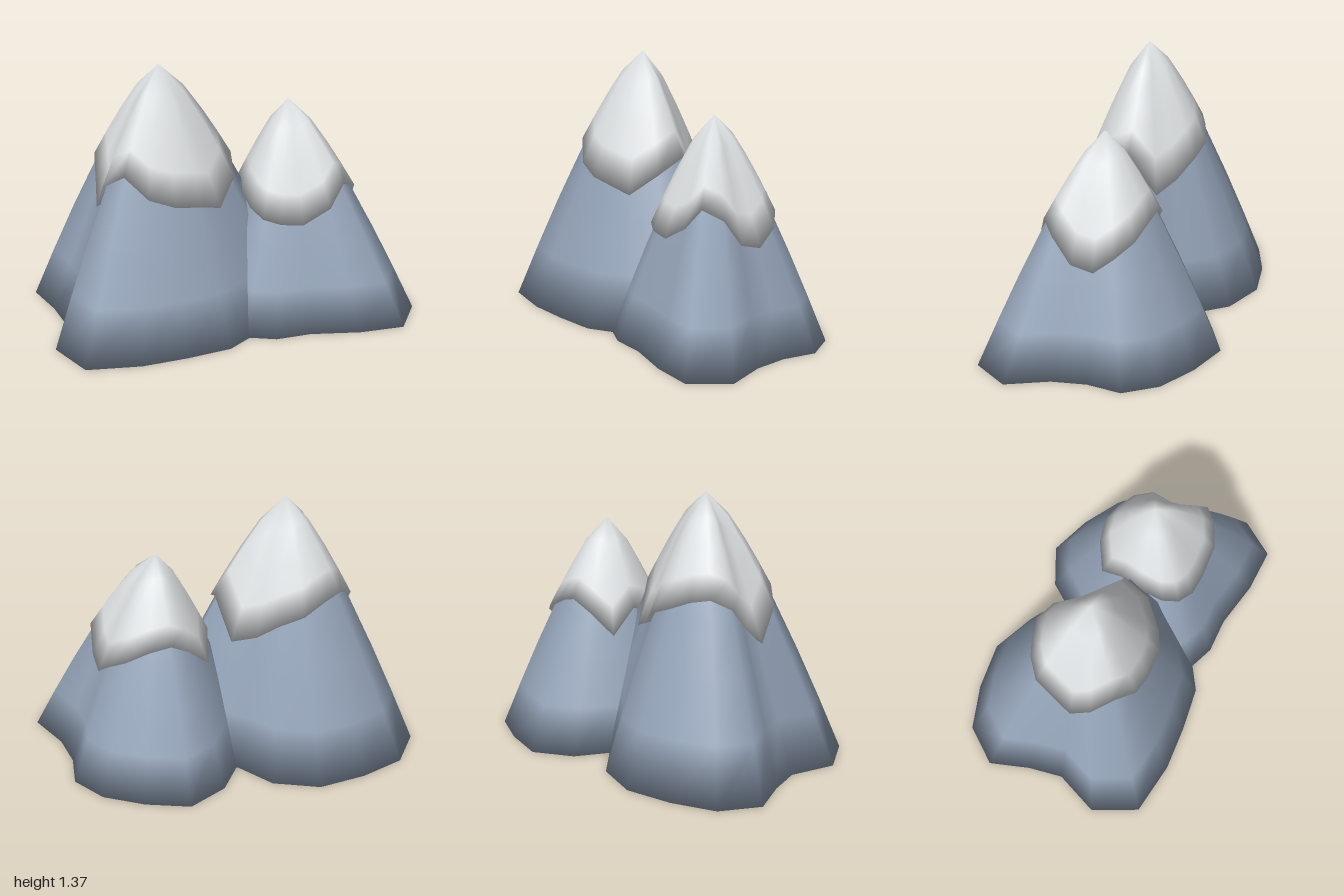
import * as THREE from 'three';

const rockMaterial = new THREE.MeshStandardMaterial({ color: 0x94a3b8 });
rockMaterial.name = 'blue grey rock';
const snowMaterial = new THREE.MeshStandardMaterial({ color: 0xdfe2e4 });
snowMaterial.name = 'snow white';

// each foot corner: x and z from the peak axis, then the snow line height above it
const peaks = [
  {
    name: 'tallPeak', x: -0.32, z: 0.05, height: 1.37,
    foot: [
      [0.68, 0.13, 0.78], [0.46, 0.32, 0.67], [0.32, 0.45, 0.71], [0.10, 0.52, 0.73],
      [-0.13, 0.575, 0.78], [-0.41, 0.585, 0.89], [-0.56, 0.38, 0.81], [-0.51, 0.14, 0.65],
      [-0.575, -0.03, 0.75], [-0.68, -0.22, 0.86], [-0.58, -0.42, 0.91], [-0.37, -0.53, 0.89],
      [-0.13, -0.60, 0.84], [0.11, -0.545, 0.79], [0.27, -0.40, 0.70], [0.45, -0.30, 0.65],
      [0.75, -0.14, 0.86],
    ],
  },
  {
    name: 'shortPeak', x: 0.34, z: -0.05, height: 1.13,
    foot: [
      [0.53, 0.02, 0.55], [0.66, 0.21, 0.68], [0.57, 0.415, 0.73], [0.34, 0.45, 0.62],
      [0.08, 0.445, 0.545], [-0.10, 0.48, 0.56], [-0.25, 0.45, 0.58], [-0.37, 0.36, 0.62],
      [-0.45, 0.15, 0.66], [-0.50, -0.05, 0.70], [-0.40, -0.25, 0.57], [-0.30, -0.46, 0.69],
      [-0.12, -0.59, 0.75], [0.11, -0.55, 0.72], [0.32, -0.47, 0.66], [0.46, -0.33, 0.60],
      [0.47, -0.15, 0.52],
    ],
  },
];

// Smooth closed solid from rings (bottom to top), an apex and a centre under the first ring
function loft(rings, apexY, centreY) {
  const n = rings[0].length;
  const points = [...rings.flat(), [0, apexY, 0], [0, centreY, 0]];
  const apex = rings.length * n;
  const index = [];
  for (let i = 0; i < n; i++) {
    const j = (i + 1) % n;
    index.push(apex + 1, i, j);
    for (let r = 0; r < rings.length - 1; r++) {
      const a = r * n + i, b = r * n + j;
      index.push(a, a + n, b, b, a + n, b + n);
    }
    const top = (rings.length - 1) * n;
    index.push(top + i, apex, top + j);
  }
  const geometry = new THREE.BufferGeometry();
  geometry.setAttribute('position', new THREE.Float32BufferAttribute(points.flat(), 3));
  geometry.setIndex(index);
  geometry.computeVertexNormals();
  return geometry;
}

// Point on the gently bulging slope above a foot corner, pushed out by an offset
function slopePoint([x, z], y, height, offset) {
  const k = Math.pow(1 - y / height, 0.8) + offset / Math.hypot(x, z);
  return [x * k, y, z * k];
}

function makePeak({ name, x, z, height, foot }) {
  const peak = new THREE.Group();
  peak.name = name;
  peak.position.set(x, 0, z);

  // rock body
  const rockRings = [0, 0.2, 0.4, 0.6, 0.8].map((t) =>
    foot.map((corner) => slopePoint(corner, t * height, height, 0)));
  const rock = new THREE.Mesh(loft(rockRings, height * 0.93, 0), rockMaterial);
  rock.name = 'rock';

  // snow cap with a wavy lower edge, slightly proud of the rock
  const snowRings = [0, 0.25, 0.5, 0.77].map((s) =>
    foot.map((corner) =>
      slopePoint(corner, THREE.MathUtils.lerp(corner[2], height, s), height, 0.024 * (1 - 0.4 * s))));
  const meanEdge = foot.reduce((sum, corner) => sum + corner[2], 0) / foot.length;
  const snow = new THREE.Mesh(loft(snowRings, height, meanEdge), snowMaterial);
  snow.name = 'snowCap';

  peak.add(rock, snow);
  return peak;
}

export function createModel() {
  const model = new THREE.Group();
  model.name = 'mountains';
  model.add(...peaks.map(makePeak));
  return model;
}
